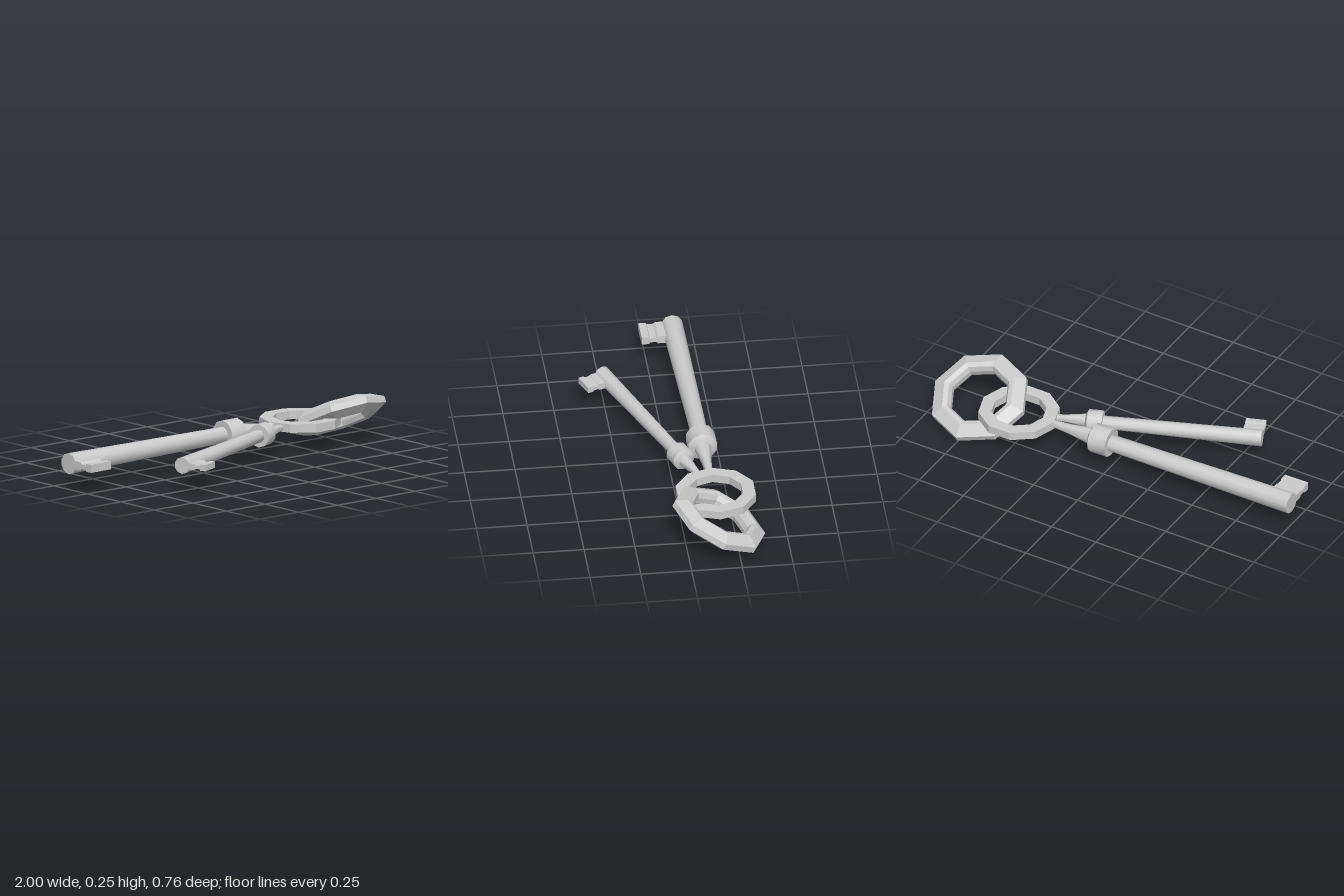
import * as THREE from 'three';
import { toCreasedNormals } from 'three/addons/utils/BufferGeometryUtils.js';

const grey = () => new THREE.MeshStandardMaterial({ color: 0xcccccc });

function part(name, geometry, crease) {
  const mesh = new THREE.Mesh(toCreasedNormals(geometry, crease), grey());
  mesh.name = name;
  return mesh;
}

const points = (list) => list.map(([x, y]) => new THREE.Vector2(x, y));

// Turned piece lying along +x, from [radius, distance] pairs
function turned(name, profile) {
  const g = new THREE.LatheGeometry(points(profile), 10, Math.PI / 10);
  return part(name, g.rotateZ(-Math.PI / 2), 0.72);
}

// Key with its tip at the origin, neck towards +x and bit towards +z
function makeKey(name) {
  const key = new THREE.Group();
  key.name = name;
  key.add(turned('shaft', [[0, 0], [0.053, 0], [0.041, 1.03], [0, 1.03]]));
  key.add(turned('collar', [[0, 1.01], [0.073, 1.01], [0.073, 1.105], [0.046, 1.12], [0, 1.12]]));
  key.add(turned('neck', [[0, 1.1], [0.045, 1.1], [0.025, 1.24], [0.016, 1.36], [0, 1.36]]));

  // Bit: plate with a groove along each face
  const half = [[0.02, 0.02], [0.085, 0.02], [0.095, 0.011], [0.125, 0.011], [0.13, 0.02], [0.166, 0.02]];
  const outline = [...half, ...half.map(([z, y]) => [z, -y]).reverse()];
  const bit = new THREE.ExtrudeGeometry(new THREE.Shape(points(outline)), { depth: 0.13, bevelEnabled: false });
  bit.rotateY(-Math.PI / 2).translate(0.13, 0, 0);
  key.add(part('bit', bit, 0.2));
  return key;
}

export function createModel() {
  const model = new THREE.Group();
  model.name = 'keysOnRings';

  const longKey = makeKey('longKey');
  longKey.position.set(-1, 0.13, -0.14);
  longKey.rotation.y = 0.019;
  model.add(longKey);

  const shortKey = makeKey('shortKey');
  shortKey.position.set(-0.605, 0.128, 0.25);
  shortKey.rotation.y = 0.364;
  shortKey.scale.setScalar(0.78);
  model.add(shortKey);

  // Flat ten-sided ring that joins the keys
  const polygon = (r) => Array.from({ length: 10 }, (_, i) =>
    new THREE.Vector2(r * Math.cos(i * Math.PI / 5), r * Math.sin(i * Math.PI / 5)));
  const flat = new THREE.Shape(polygon(0.2));
  flat.holes.push(new THREE.Path(polygon(0.135)));
  const ringGeometry = new THREE.ExtrudeGeometry(flat, { depth: 0.042, bevelEnabled: false });
  ringGeometry.rotateX(-Math.PI / 2).translate(0, -0.021, 0);
  const flatRing = part('flatRing', ringGeometry, 0.2);
  flatRing.position.set(0.523, 0.129, -0.175);
  model.add(flatRing);

  // Thick eight-sided ring, tilted and linked through the flat ring
  const section = [[0.248, -0.016], [0.248, 0.016], [0.188, 0.047], [0.163, 0.04], [0.15, 0.015],
    [0.15, -0.015], [0.163, -0.04], [0.188, -0.047], [0.248, -0.016]];
  const tiltedRing = part('tiltedRing', new THREE.LatheGeometry(points(section), 8), 0.1);
  tiltedRing.position.set(0.752, 0.128, -0.163);
  tiltedRing.rotation.x = -0.464;
  model.add(tiltedRing);

  return model;
}
